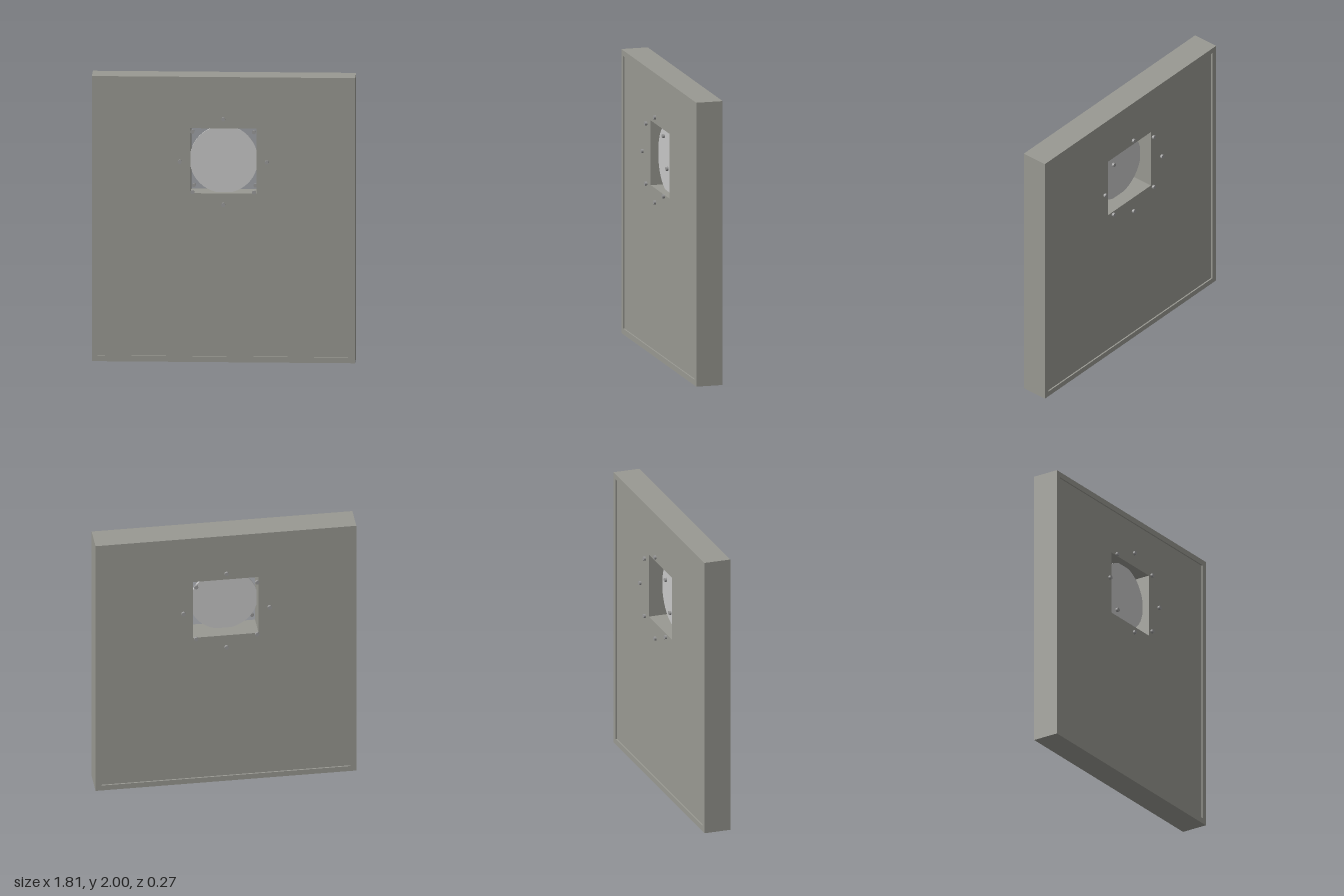
import * as THREE from 'three';

const W = 0.907, H = 2, D = 0.095;   // half width, height, half depth
const RIM = 0.04, RECESS = 0.01;     // edge trim width and panel recess
const CY = 1.41, HOLE = 0.228;       // window centre height and half size

const mat = (name, color) => {
  const m = new THREE.MeshStandardMaterial({ color });
  m.name = name;
  return m;
};

// Closed rectangle added to a Shape or Path
function rect(path, x0, y0, x1, y1) {
  path.moveTo(x0, y0);
  path.lineTo(x1, y0);
  path.lineTo(x1, y1);
  path.lineTo(x0, y1);
  path.closePath();
  return path;
}

// Plate with a rectangular opening, centred on z = 0
function holedPlate(outer, inner, halfDepth) {
  const shape = rect(new THREE.Shape(), ...outer);
  shape.holes.push(rect(new THREE.Path(), ...inner));
  const geo = new THREE.ExtrudeGeometry(shape, { depth: halfDepth * 2, bevelEnabled: false });
  return geo.translate(0, 0, -halfDepth);
}

export function createModel() {
  const group = new THREE.Group();
  const wall = mat('warm grey', 0x999992);
  const glass = mat('pale grey', 0xc8c8c8);
  const metal = mat('steel grey', 0x999999);

  const add = (name, geo, material) => {
    const mesh = new THREE.Mesh(geo, material);
    mesh.name = name;
    group.add(mesh);
    return mesh;
  };

  // Slim raised trim around a slightly recessed panel
  const inner = [-W + RIM, RIM, W - RIM, H - RIM];
  add('edgeTrim', holedPlate([-W, 0, W, H], inner, D), wall);
  add('panel', holedPlate(inner, [-HOLE, CY - HOLE, HOLE, CY + HOLE], D - RECESS), wall);

  // Round pane set into the square opening
  const pane = add('windowPane', new THREE.CylinderGeometry(0.235, 0.235, 0.015, 48), glass);
  pane.rotation.x = Math.PI / 2;
  pane.position.set(0, CY, 0.022);

  // Studs: four on the axes, four at the opening corners, on both faces
  const spots = [];
  for (const s of [-1, 1]) {
    spots.push([0.3 * s, 0], [0, 0.3 * s], [0.212 * s, 0.212], [0.212 * s, -0.212]);
  }
  const studGeo = new THREE.CylinderGeometry(0.014, 0.014, 0.016, 20).rotateX(Math.PI / 2);
  for (const side of [-1, 1]) {
    for (const [x, y] of spots) {
      add(side > 0 ? 'frontStud' : 'backStud', studGeo, metal).position.set(x, CY + y, 0.126 * side);
    }
  }
  return group;
}
